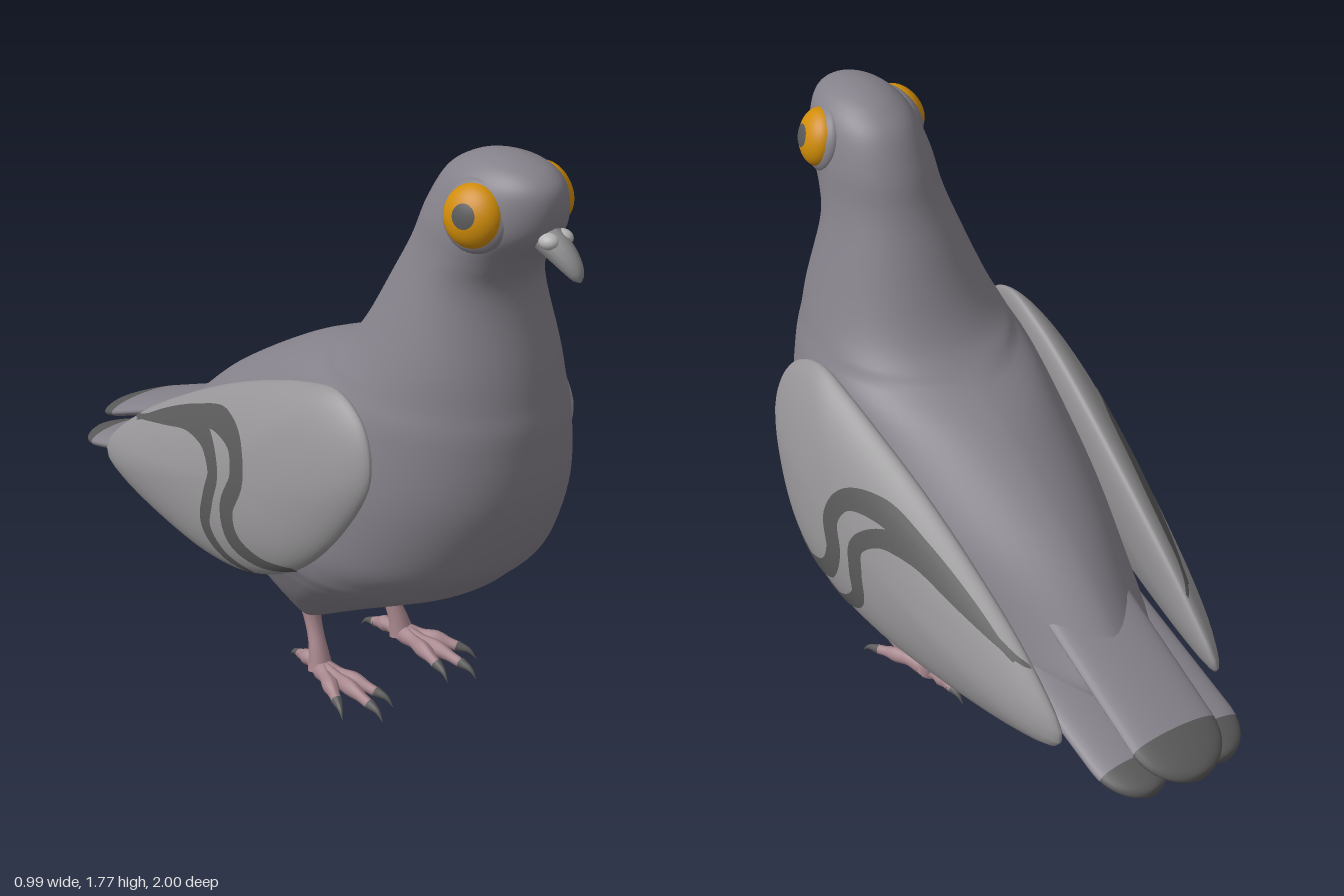
import * as THREE from 'three';
import { mergeVertices } from 'three/addons/utils/BufferGeometryUtils.js';

const V = (x, y, z) => new THREE.Vector3(x, y, z);
const mat = (color) => new THREE.MeshStandardMaterial({ color, roughness: 0.8 });

// Smooth skin over rows of ring points (each ring is closed by its last point)
function skin(rows) {
  const n = rows[0].length, pos = [], index = [];
  rows.forEach((row) => row.forEach((p) => pos.push(p.x, p.y, p.z)));
  for (let v = 0; v < rows.length - 1; v++) {
    for (let u = 0; u < n - 1; u++) {
      const a = v * n + u, b = a + 1, c = b + n, d = a + n;
      index.push(a, b, c, a, c, d);
    }
  }
  let g = new THREE.BufferGeometry();
  g.setAttribute('position', new THREE.Float32BufferAttribute(pos, 3));
  g.setIndex(index);
  g = mergeVertices(g, 1e-5);
  g.computeVertexNormals();
  return g;
}

function ring(n, fn) {
  return Array.from({ length: n + 1 }, (_, i) => fn(((i % n) / n) * Math.PI * 2));
}

function mirrored(g) {
  const m = g.clone().scale(-1, 1, 1), ix = m.index;
  for (let i = 0; i < ix.count; i += 3) {
    const t = ix.getX(i);
    ix.setX(i, ix.getX(i + 1));
    ix.setX(i + 1, t);
  }
  return m;
}

// Round limb along a curve; radius(t) sets the taper
function limb(points, radius, segs = 16) {
  const curve = new THREE.CatmullRomCurve3(points);
  const g = new THREE.TubeGeometry(curve, segs, 1, 12, false);
  const p = g.attributes.position;
  for (let i = 0; i < p.count; i++) {
    const t = Math.floor(i / 13) / segs, c = curve.getPointAt(t);
    const q = V(0, 0, 0).fromBufferAttribute(p, i).sub(c).multiplyScalar(radius(t)).add(c);
    p.setXYZ(i, q.x, q.y, q.z);
  }
  g.computeVertexNormals();
  return g;
}

// Body: level sections [y, back z, front z, half width, z of widest point]
function bodyGeometry() {
  const s = [
    [0.18, 0.1, 0.1, 0.12, 0.1], [0.2, 0.03, 0.17, 0.17, 0.1], [0.3, -0.19, 0.36, 0.25, 0.15],
    [0.4, -0.44, 0.55, 0.31, 0.25], [0.45, -0.63, 0.64, 0.335, 0.3], [0.5, -0.71, 0.7, 0.355, 0.34],
    [0.6, -0.61, 0.79, 0.37, 0.4], [0.8, -0.38, 0.865, 0.365, 0.43], [1, -0.06, 0.875, 0.33, 0.46],
    [1.1, 0.16, 0.86, 0.295, 0.5], [1.2, 0.27, 0.84, 0.26, 0.55], [1.4, 0.38, 0.79, 0.195, 0.6],
    [1.5, 0.43, 0.82, 0.172, 0.64], [1.6, 0.47, 0.895, 0.16, 0.68], [1.7, 0.53, 0.905, 0.13, 0.71],
    [1.75, 0.6, 0.865, 0.09, 0.73], [1.773, 0.67, 0.79, 0.04, 0.73], [1.778, 0.73, 0.73, 0, 0.73],
  ];
  const ends = new THREE.CatmullRomCurve3(s.map((r) => V(r[0], r[1], r[2])), false, 'catmullrom');
  const wide = new THREE.CatmullRomCurve3(s.map((r) => V(r[3], r[4], 0)), false, 'catmullrom');
  const rows = [];
  for (let i = 0; i <= 102; i++) {
    const e = ends.getPoint(i / 102), w = wide.getPoint(i / 102);
    rows.push(ring(72, (a) => {
      const c = Math.cos(a), sn = Math.sin(a);
      const taper = c < 0 && e.x < 1.1 ? 1.2 : 1;
      const x = w.x * Math.sign(sn) * Math.abs(sn) ** taper;
      const z = w.y + c * (c > 0 ? e.z - w.y : w.y - e.y);
      // hollow between the two thighs
      const lift = 0.045 * Math.exp(-((x / 0.075) ** 2)) * Math.max(0, 1 - (e.x - 0.18) / 0.15);
      return V(x, e.x + lift, z);
    }));
  }
  return skin(rows);
}

// Wing outline as (z, y), turned into a radius for every angle about its centre
const WING = { y: 0.72, z: 0.05 };
const outline = new THREE.CatmullRomCurve3([
  [0.62, 0.9], [0.57, 1.03], [0.45, 1.095], [0.3, 1.07], [0, 0.955], [-0.3, 0.8], [-0.55, 0.64],
  [-0.71, 0.49], [-0.7, 0.455], [-0.6, 0.43], [-0.3, 0.415], [0, 0.43], [0.22, 0.48], [0.4, 0.57], [0.54, 0.72],
].map(([z, y]) => V(0, y, z)), true).getPoints(300)
  .map((p) => ({ a: Math.atan2(p.z - WING.z, p.y - WING.y), r: Math.hypot(p.z - WING.z, p.y - WING.y) }))
  .sort((p, q) => p.a - q.a);

function wingRadius(angle) {
  const a = Math.atan2(Math.sin(angle), Math.cos(angle));
  const i = outline.findIndex((p) => p.a > a);
  if (i < 1) return outline[0].r;
  const p = outline[i - 1], q = outline[i];
  return p.r + ((q.r - p.r) * (a - p.a)) / (q.a - p.a);
}
const wingEdge = (y, z) => 0.49 + 0.18 * z - 0.194 * y - 0.18 * Math.max(0, z - 0.1) ** 2;

function wingGeometry() {
  const rows = [];
  for (let k = 0; k <= 32; k++) {
    const phi = (k / 32 - 0.5) * Math.PI, r = Math.max(0, Math.cos(phi)), h = Math.sin(phi);
    rows.push(ring(180, (a) => {
      const R = wingRadius(a) * r, y = WING.y + Math.cos(a) * R, z = WING.z + Math.sin(a) * R;
      return V(wingEdge(y, z) + (h > 0 ? 0.105 * h ** 1.2 : 0.055 * h), y, z);
    }));
  }
  return skin(rows);
}

// Wing bar: a tapering ribbon laid on the outer face of the wing
function barGeometry(points, width) {
  const curve = new THREE.CatmullRomCurve3(points.map(([z, y]) => V(0, y, z)));
  const rows = [];
  for (let i = 0; i <= 80; i++) {
    const t = i / 80, p = curve.getPointAt(t), d = curve.getTangentAt(t);
    const w = width * Math.min(1, (1 - t) * 1.9 + 0.08) * Math.min(1, 0.25 + t * 4);
    rows.push([-0.5, -0.25, 0, 0.25, 0.5].map((k) => {
      const y = p.y + d.z * w * k, z = p.z - d.y * w * k;
      const r = Math.hypot(y - WING.y, z - WING.z) / wingRadius(Math.atan2(z - WING.z, y - WING.y));
      return V(wingEdge(y, z) + 0.105 * Math.max(0, 1 - r * r) ** 0.6 + 0.003, y, z);
    }));
  }
  return skin(rows);
}

// Tail feather from z0 back to z1, drawn only between za and zb
function featherGeometry({ x, w, h, z1, y1, slope }, za, zb) {
  const rows = [];
  for (let i = 0; i <= 20; i++) {
    const z = za + (zb - za) * Math.sin((i / 20) * Math.PI / 2);
    const d = Math.max(0, 0.14 - (z - z1)) / 0.14;
    const f = Math.sqrt(Math.max(0, 1 - d * d));
    rows.push(ring(32, (a) => V(
      x + w * f * Math.cos(a),
      y1 + slope * (z - z1) - h * Math.sqrt(f) * Math.sin(a), z)));
  }
  return skin(rows);
}

export function createModel() {
  const model = new THREE.Group();
  const grey = mat(0x85818a), wingGrey = mat(0x969496), dark = mat(0x585858);
  const pink = mat(0xa5858c), amber = mat(0xd08c08), pale = mat(0xb4b4b4), beakGrey = mat(0x88888a);
  const add = (name, g, m) => {
    const mesh = new THREE.Mesh(g, m);
    mesh.name = name;
    model.add(mesh);
  };
  const pair = (name, g, m) => {
    add(name + 'Left', g, m);
    add(name + 'Right', mirrored(g), m);
  };

  add('body', bodyGeometry(), grey);

  // Wings and their two dark bars
  const barMat = mat(0x585858);
  barMat.side = THREE.DoubleSide;
  pair('wing', wingGeometry(), wingGrey);
  pair('frontWingBar', barGeometry([[0.39, 0.565], [0.27, 0.555], [0.17, 0.59], [0.14, 0.67], [0.17, 0.77],
    [0.13, 0.85], [0.02, 0.87], [-0.15, 0.82], [-0.35, 0.735], [-0.52, 0.645]], 0.065), barMat);
  pair('rearWingBar', barGeometry([[0.22, 0.488], [0.1, 0.51], [0.03, 0.57], [0.04, 0.66], [0.05, 0.74],
    [-0.02, 0.8], [-0.14, 0.8], [-0.32, 0.735], [-0.56, 0.635]], 0.055), barMat);

  // Tail: one middle feather over two side feathers, all with dark tips
  const middle = { x: 0, w: 0.14, h: 0.032, z1: -1, y1: 0.43, slope: 0.4 };
  const side = { x: 0.125, w: 0.115, h: 0.032, z1: -0.95, y1: 0.395, slope: 0.25 };
  add('middleTailFeather', featherGeometry(middle, -0.35, -0.87), grey);
  add('middleTailTip', featherGeometry(middle, -0.87, -1), dark);
  pair('sideTailFeather', featherGeometry(side, -0.22, -0.85), grey);
  pair('sideTailTip', featherGeometry(side, -0.85, -0.95), dark);

  // Eyes: lid, amber ball and pupil, turned slightly up and forward
  const look = V(0.93, 0.26, 0.24).normalize();
  const turn = new THREE.Quaternion().setFromUnitVectors(V(0, 1, 0), look);
  const eyePart = (r, flat, cap, out) => new THREE.SphereGeometry(r, 36, 20, 0, Math.PI * 2, 0, cap)
    .scale(1, flat, 1).translate(0, out, 0).applyQuaternion(turn).translate(0.135, 1.64, 0.74);
  pair('eyelid', eyePart(0.1, 0.45, Math.PI, -0.015), grey);
  pair('eye', eyePart(0.086, 0.65, Math.PI, 0), amber);
  pair('pupil', eyePart(0.087, 0.655, 0.4, 0.001), dark);

  // Beak with two pale swellings at its base
  add('beak', limb([V(0, 1.59, 0.86), V(0, 1.565, 0.92), V(0, 1.535, 0.965), V(0, 1.5, 1)],
    (t) => 0.042 * Math.sqrt(1 - t * t * 0.999)), beakGrey);
  pair('cere', new THREE.SphereGeometry(0.026, 20, 14).scale(1, 0.85, 1.2)
    .translate(0.024, 1.59, 0.905), pale);

  // Legs, toes and claws
  pair('leg', limb([V(0.14, 0.25, 0.08), V(0.145, 0.17, 0.11), V(0.155, 0.09, 0.145), V(0.16, 0.035, 0.16)],
    (t) => 0.035 - 0.012 * Math.sin(t * Math.PI) + 0.003 * t), pink);
  const ankle = V(0.16, 0.04, 0.16);
  const toes = { inner: [0.115, 0.38], middle: [0.18, 0.42], outer: [0.245, 0.34], back: [0.145, 0.04] };
  for (const [name, [x, z]] of Object.entries(toes)) {
    const end = V(x, 0.03, z), mid = ankle.clone().lerp(end, 0.55).setY(0.043);
    const step = end.clone().sub(ankle).setY(0).normalize();
    pair(name + 'Toe', limb([ankle, mid, end],
      (t) => (0.026 - 0.008 * t + 0.003 * Math.sin(t * 14)) * Math.sqrt(Math.max(0, 1 - t ** 10))), pink);
    pair(name + 'Claw', limb([end.clone().addScaledVector(step, -0.02).setY(0.034),
      end.clone().addScaledVector(step, 0.02).setY(0.026), end.clone().addScaledVector(step, 0.042).setY(0.004)],
    (t) => 0.016 * (1 - t) + 0.0005, 8), dark);
  }
  return model;
}
